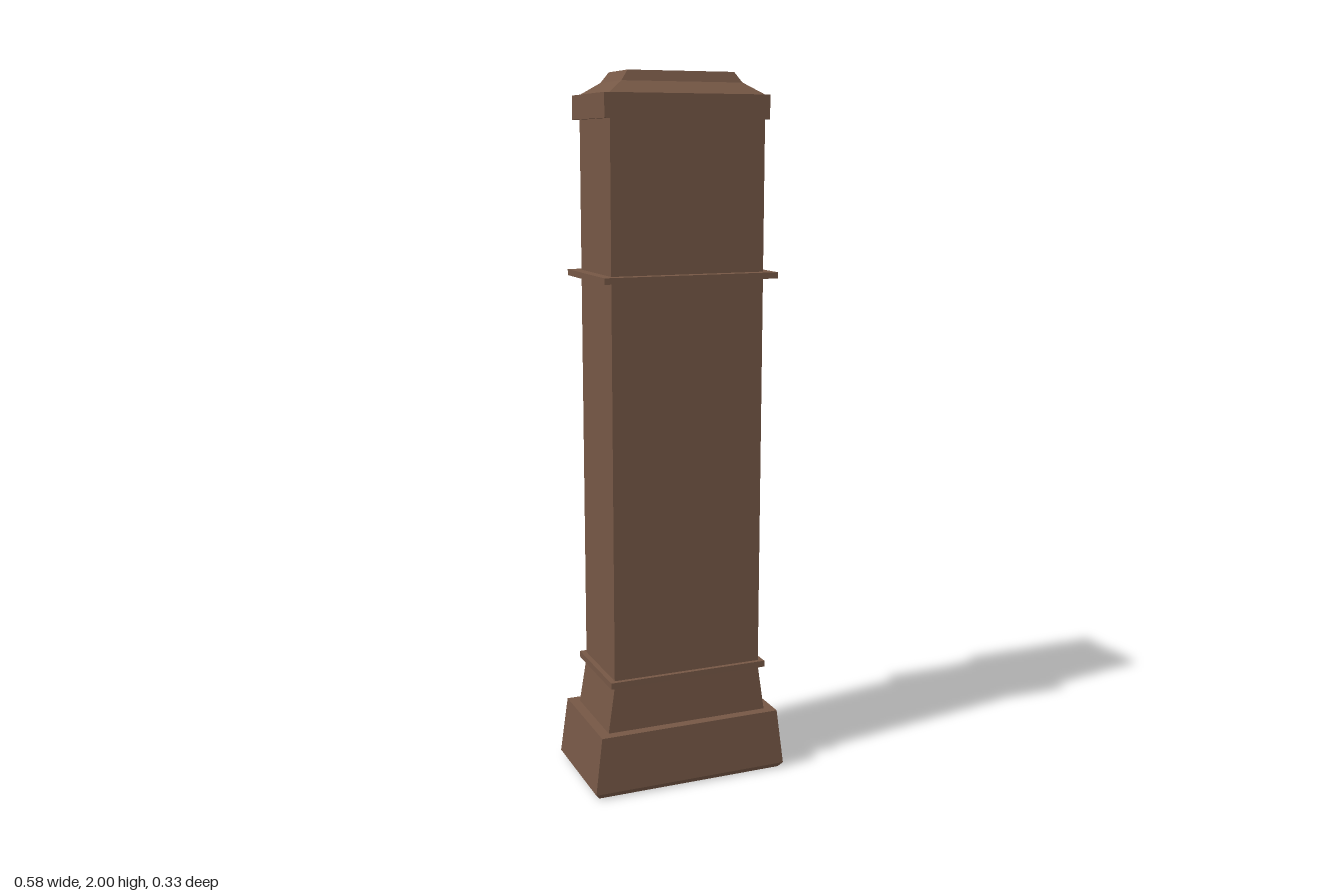
import * as THREE from 'three';

export function createModel() {
  const group = new THREE.Group();
  group.name = 'longcaseClock';
  const wood = new THREE.MeshStandardMaterial({ name: 'brownWood', color: 0x755745 });
  const glass = new THREE.MeshStandardMaterial({ name: 'paleGlass', color: 0xc0d0d2 });

  const add = (name, geometry, material = wood) => {
    const mesh = new THREE.Mesh(geometry, material);
    mesh.name = name;
    group.add(mesh);
    return mesh;
  };

  // A block between two rectangles, each given as [y, half width, back z, front z]
  const block = (name, low, high, material) => {
    const geometry = new THREE.BoxGeometry(2, 2, 2);
    const p = geometry.attributes.position;
    for (let i = 0; i < p.count; i++) {
      const [y, hx, zb, zf] = p.getY(i) < 0 ? low : high;
      p.setXYZ(i, p.getX(i) * hx, y, p.getZ(i) < 0 ? zb : zf);
    }
    geometry.computeVertexNormals();
    return add(name, geometry, material);
  };
  const straight = (name, y0, y1, hx, zb, zf, material) =>
    block(name, [y0, hx, zb, zf], [y1, hx, zb, zf], material);

  const W = 0.222, BACK = -0.119, FRONT = 0.13, RECESS = -0.05;

  // Plinth
  block('footChamfer', [0, 0.28, -0.153, 0.155], [0.015, 0.292, -0.164, 0.165]);
  block('foot', [0.015, 0.292, -0.164, 0.165], [0.18, 0.271, -0.157, 0.16]);
  block('plinth', [0.18, 0.242, -0.127, 0.132], [0.315, 0.222, -0.12, 0.13]);
  straight('lowerMoulding', 0.315, 0.333, 0.237, -0.135, 0.143);

  // Trunk with its glazed door
  straight('trunk', 0.333, 1.448, W, BACK, FRONT);
  straight('doorGlass', 0.38, 1.402, 0.171, BACK - 0.001, BACK + 0.004, glass);
  straight('upperMoulding', 1.448, 1.465, 0.252, -0.152, 0.162);

  // Hood with a square recess around the dial
  straight('hood', 1.465, 1.875, W, RECESS, FRONT);
  const frame = new THREE.Shape([
    [-W, 1.465], [W, 1.465], [W, 1.875], [-W, 1.875],
  ].map(([x, y]) => new THREE.Vector2(x, y)));
  frame.holes.push(new THREE.Path([
    [-0.188, 1.497], [-0.188, 1.845], [0.188, 1.845], [0.188, 1.497],
  ].map(([x, y]) => new THREE.Vector2(x, y))));
  add('hoodFrame', new THREE.ExtrudeGeometry(frame, { depth: RECESS - BACK, bevelEnabled: false }))
    .position.z = BACK;

  // Dial
  const dial = add('dial', new THREE.CylinderGeometry(0.15, 0.15, 0.026, 16), glass);
  dial.rotation.x = Math.PI / 2;
  dial.position.set(0, 1.67, RECESS - 0.013);

  // Cornice and stepped roof
  straight('cornice', 1.875, 1.94, 0.237, -0.138, FRONT);
  block('lowerRoof', [1.94, 0.222, -0.123, 0.128], [1.972, 0.174, -0.081, 0.087]);
  block('upperRoof', [1.972, 0.174, -0.081, 0.087], [2, 0.153, -0.071, 0.077]);

  return group;
}
